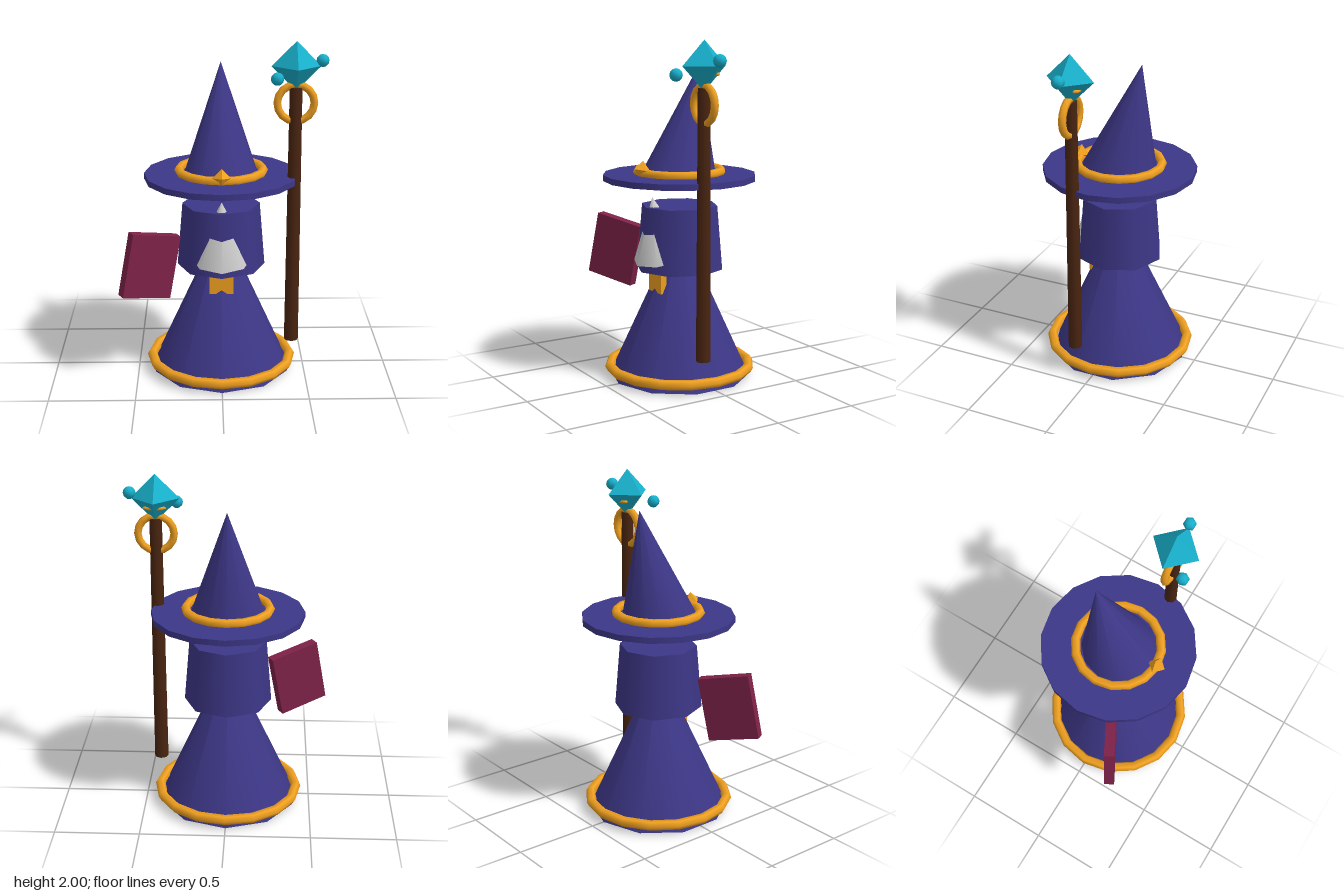
import * as THREE from 'three';

const paint = (color) => new THREE.MeshStandardMaterial({ color });

export function createModel() {
  const model = new THREE.Group();
  const purple = paint(0x3d3787), gold = paint(0xf0a020), teal = paint(0x18b0cc);
  const brown = paint(0x4a2511), crimson = paint(0x7f2249), grey = paint(0xcccccc);

  const add = (name, geometry, material, [x, y, z], [rx, ry, rz] = [0, 0, 0], parent = model) => {
    const mesh = new THREE.Mesh(geometry, material);
    mesh.name = name;
    mesh.position.set(x, y, z);
    mesh.rotation.set(rx, ry, rz);
    parent.add(mesh);
    return mesh;
  };
  const group = (name) => {
    const g = new THREE.Group();
    g.name = name;
    model.add(g);
    return g;
  };
  const flat = [Math.PI / 2, 0, 0];

  // Robe with hem, belt and buckle
  add('robe', new THREE.ConeGeometry(0.418, 0.915, 10), purple, [0, 0.4575, 0]);
  add('robeHem', new THREE.TorusGeometry(0.42, 0.03, 6, 16), gold, [0, 0.058, 0], flat);
  add('belt', new THREE.TorusGeometry(0.13, 0.02, 6, 16), gold, [0, 0.66, 0], flat);
  add('buckle', new THREE.BoxGeometry(0.14, 0.16, 0.04), gold, [0, 0.6, 0.15]);

  // Shoulder cape and the beard showing through its front
  add('cape', new THREE.CylinderGeometry(0.228, 0.26, 0.38, 8), purple, [0, 0.84, 0]);
  add('beard', new THREE.ConeGeometry(0.18, 0.37, 8), grey, [0, 0.908, 0.148], [0.2, 0, 0]);

  // Hat: brim, leaning cone, band and gem
  const hat = group('hat');
  add('hatBrim', new THREE.CylinderGeometry(0.45, 0.45, 0.035, 16), purple, [0, 1.198, 0], undefined, hat);
  add('hatCone', new THREE.ConeGeometry(0.226, 0.676, 12), purple, [0, 1.514, -0.068], [-0.2, 0, 0], hat);
  add('hatBand', new THREE.TorusGeometry(0.247, 0.027, 6, 16), gold, [0, 1.232, 0], flat, hat);
  add('hatGem', new THREE.OctahedronGeometry(0.053), gold, [0, 1.253, 0.252], [-0.15, 0, 0], hat);

  // Staff: shaft, ring, crystal, small clasp and floating orbs
  const staff = group('staff');
  add('staffShaft', new THREE.CylinderGeometry(0.036, 0.042, 1.54, 8), brown, [0.42, 0.97, 0.1], undefined, staff);
  add('staffRing', new THREE.TorusGeometry(0.105, 0.022, 6, 16), gold, [0.42, 1.65, 0.1], undefined, staff);
  add('staffCrystal', new THREE.OctahedronGeometry(0.14), teal, [0.42, 1.86, 0.1], undefined, staff);
  add('crystalClasp', new THREE.SphereGeometry(1, 8, 6), gold, [0.42, 1.815, 0.048], undefined, staff)
    .scale.set(0.07, 0.015, 0.026);
  for (const spot of [[0.567, 1.89, 0.097], [0.307, 1.808, 0.21]]) {
    add('floatingOrb', new THREE.SphereGeometry(0.037, 6, 6), teal, spot, undefined, staff);
  }

  // Tilted book at the right side
  add('book', new THREE.BoxGeometry(0.31, 0.38, 0.062), crimson, [-0.418, 0.712, 0.197], [0, 0.5, -0.2]);

  return model;
}
